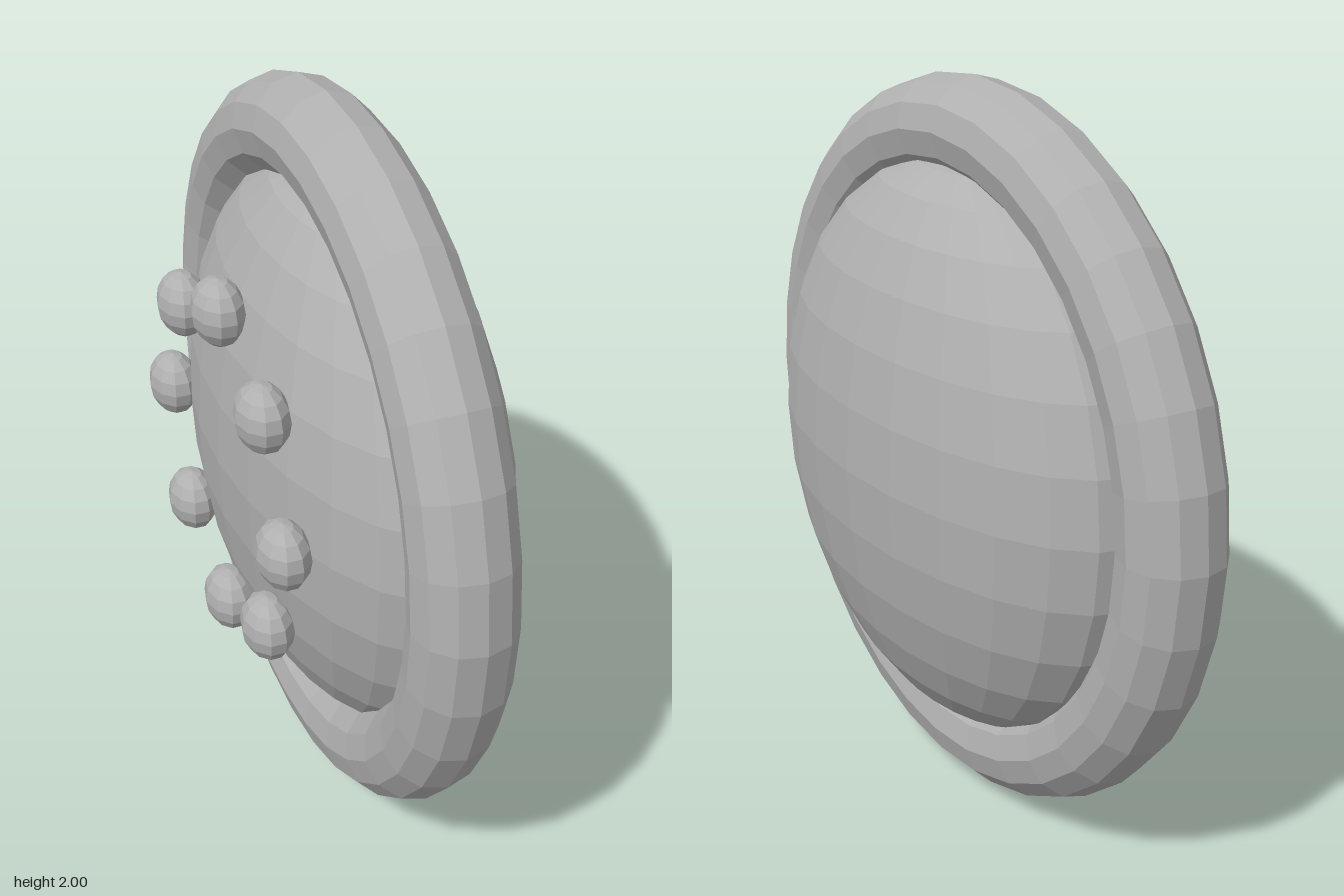
import * as THREE from 'three';

export function createModel() {
  const model = new THREE.Group();
  const grey = new THREE.MeshStandardMaterial({ color: 0xb0b0b0 });
  grey.name = 'grey';

  // faceted mesh: unshared vertices give each face its own normal
  function add(name, geometry, parent = model) {
    const flat = geometry.toNonIndexed();
    flat.computeVertexNormals();
    const mesh = new THREE.Mesh(flat, grey);
    mesh.name = name;
    parent.add(mesh);
    return mesh;
  }

  // thick outer ring, its axis along x
  const ring = new THREE.TorusGeometry(0.865, 0.135, 12, 32).rotateY(Math.PI / 2);
  add('outerRing', ring).position.set(-0.018, 1, 0);

  // flattened ball filling the ring and bulging from both sides
  const body = new THREE.SphereGeometry(1, 24, 14).scale(0.357, 0.79, 0.79);
  add('domedBody', body).position.set(0.025, 1, 0);

  // circle of eight studs on the right side
  const studs = new THREE.Group();
  studs.name = 'studs';
  model.add(studs);
  for (let i = 0; i < 8; i++) {
    const a = (i / 8) * Math.PI * 2;
    const stud = new THREE.SphereGeometry(1, 10, 8).scale(0.07, 0.093, 0.096);
    add('stud' + (i + 1), stud, studs)
      .position.set(-0.315, 1 + 0.455 * Math.sin(a), 0.455 * Math.cos(a));
  }
  return model;
}
